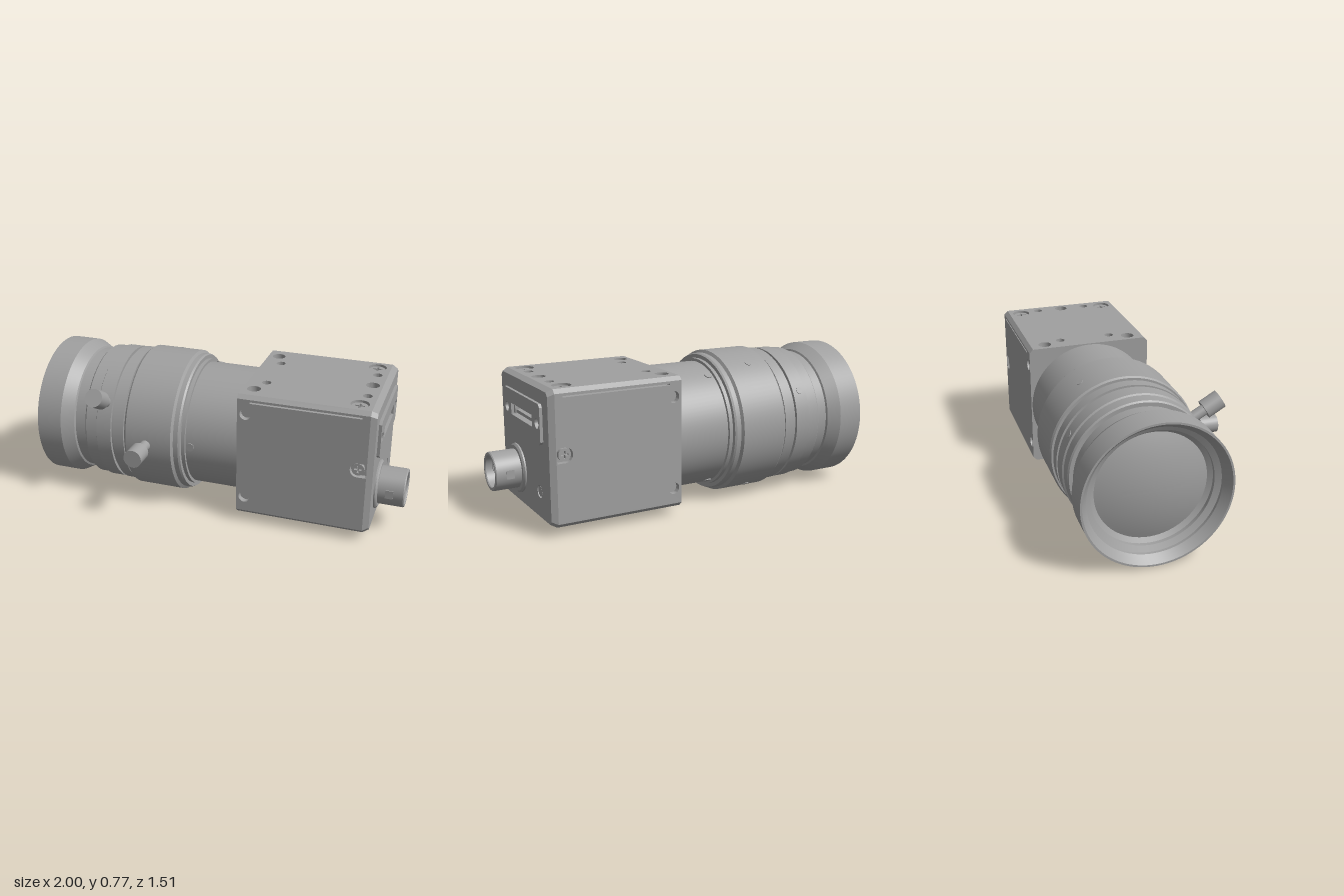
import * as THREE from 'three';
import { toCreasedNormals } from 'three/addons/utils/BufferGeometryUtils.js';

const metal = new THREE.MeshStandardMaterial({ color: 0xa0a0a0 });
metal.name = 'grey metal';

const HALF = 0.336, CORE = 0.306, SKIN = HALF - CORE; // housing half width, core half width, skin depth
const BACK = -0.86, FRONT = -0.195; // housing ends along the optical axis

function add(parent, name, geometry, x = 0, y = 0, z = 0) {
  const mesh = new THREE.Mesh(geometry, metal);
  mesh.name = name;
  mesh.position.set(x, y, z);
  parent.add(mesh);
  return mesh;
}

function group(parent, name) {
  const g = new THREE.Group();
  g.name = name;
  parent.add(g);
  return g;
}

const poly = (pts) => new THREE.Shape(pts.map(([x, y]) => new THREE.Vector2(x, y)));
const rect = (x0, y0, x1, y1) => poly([[x0, y0], [x1, y0], [x1, y1], [x0, y1]]);
const circle = (x, y, r) => new THREE.Shape().absarc(x, y, r, 0, Math.PI * 2, false);
const chamfered = (w, h, c) => poly([[c - w, -h], [w - c, -h], [w, c - h], [w, h - c],
  [w - c, h], [c - w, h], [-w, h - c], [-w, c - h]]);

function extrude(shape, depth, holes = []) {
  shape.holes.push(...holes);
  const g = new THREE.ExtrudeGeometry(shape, { depth, bevelEnabled: false, curveSegments: 12 });
  return toCreasedNormals(g, 0.6);
}

// Turned part along +z from [radius, distance] pairs
function turned(profile, segments = 96) {
  const g = new THREE.LatheGeometry(profile.map(([r, u]) => new THREE.Vector2(r, u)), segments);
  return toCreasedNormals(g.rotateX(Math.PI / 2), 0.35);
}

// Screw head facing +z with a cross recess
function screwHead(r) {
  const a = r * 0.13, b = r * 0.6;
  const cross = poly([[a, a], [b, a], [b, -a], [a, -a], [a, -b], [-a, -b],
    [-a, -a], [-b, -a], [-b, a], [-a, a], [-a, b], [a, b]]);
  return extrude(circle(0, 0, r), 0.02, [cross]);
}

function buildLens(parent) {
  const lens = group(parent, 'lens');
  add(lens, 'lensBarrel', turned([
    [0.33, -0.2], [0.33, 0.085], [0.345, 0.085], [0.345, 0.105], [0.365, 0.105], [0.37, 0.115],
    [0.37, 0.14], [0.385, 0.15], [0.385, 0.4], [0.378, 0.41], [0.36, 0.41], [0.36, 0.42],
    [0.37, 0.42], [0.37, 0.478], [0.352, 0.478], [0.352, 0.495], [0.368, 0.495],
    [0.368, 0.575], [0.36, 0.58], [0.36, 0.64], [0.353, 0.648], [0.333, 0.648],
    [0.333, 0.715], [0.343, 0.72], [0.377, 0.783], [0.377, 0.92], [0.367, 0.92],
    [0.335, 0.875], [0.335, 0.86], [0.305, 0.845], [0.305, 0.825], [0.28, 0.81],
  ]));
  // Convex front glass
  const dome = [];
  for (let i = 0; i <= 12; i++) {
    const r = 0.282 * (1 - i / 12);
    dome.push([r, 0.86 - 0.05 * (r / 0.282) ** 2]);
  }
  add(lens, 'frontGlass', turned(dome));

  // Thumb screw plus two set screws on each adjusting ring
  const radial = (name, angle, u, r, from, to) => {
    const arm = group(lens, name + 'Mount');
    arm.rotation.z = angle;
    const g = new THREE.CylinderGeometry(r, r, to - from, 28).rotateZ(-Math.PI / 2);
    add(arm, name, g, (from + to) / 2, 0, u);
  };
  for (const [u, start, surface, headAt] of [[0.535, 30, 0.368, 0.43], [0.289, 0, 0.385, 0.455]]) {
    for (let i = 0; i < 3; i++) {
      const angle = THREE.MathUtils.degToRad(start + i * 120);
      if (i === 0) {
        radial('thumbScrewStem', angle, u, 0.028, 0.33, headAt + 0.01);
        radial('thumbScrewHead', angle, u, 0.048, headAt, headAt + 0.095);
      } else {
        radial('setScrew', angle, u, 0.018, 0.34, surface + 0.003);
      }
    }
  }
  for (let i = 0; i < 3; i++) radial('mountScrew', i * Math.PI * 2 / 3, 0.06, 0.022, 0.3, 0.334);
}

// One skin plate of the housing; holes are [across, along axis, radius], screws likewise
function buildSide(parent, name, turn, holes, screws, extraHoles = []) {
  const side = group(parent, name);
  side.rotation.z = turn;
  const cuts = [...holes, ...screws].map(([a, u, r]) => circle(a, -u, r));
  const plate = extrude(rect(-CORE, -FRONT, CORE, -BACK), SKIN, [...cuts, ...extraHoles]);
  add(side, name + 'Plate', plate.rotateX(-Math.PI / 2), 0, CORE, 0);
  for (const [a, u, r] of screws) {
    add(side, 'crossScrew', screwHead(r * 0.88).rotateX(-Math.PI / 2), a, CORE, u);
  }
  const post = poly([[CORE, CORE], [HALF, CORE], [HALF, 0.316], [0.316, HALF], [CORE, HALF]]);
  add(side, 'cornerPost', extrude(post, FRONT - BACK), 0, 0, BACK);
  return side;
}

function buildHousing(parent) {
  const body = group(parent, 'housing');
  add(body, 'housingCore', new THREE.BoxGeometry(CORE * 2, CORE * 2, FRONT - BACK), 0, 0, (FRONT + BACK) / 2);

  buildSide(body, 'top', 0,
    [[-0.237, -0.252, 0.035], [0.237, -0.252, 0.035], [-0.14, -0.29, 0.024], [0.14, -0.29, 0.024],
      [0, -0.808, 0.035], [-0.142, -0.808, 0.024], [0.142, -0.808, 0.024]],
    [[-0.249, -0.79, 0.047], [0.249, -0.79, 0.047]]);
  buildSide(body, 'bottom', Math.PI,
    [[-0.235, -0.24, 0.03], [0.235, -0.24, 0.03]], [[0, -0.245, 0.036]]);

  // Mirrored flanks: corner holes, seam groove, rounded recess open to the rear
  for (const s of [1, -1]) {
    const c = -s * 0.02, w = 0.038;
    const recess = new THREE.Shape();
    recess.moveTo(c - w, 0.857);
    recess.lineTo(c - w, 0.815);
    recess.absarc(c, 0.815, w, Math.PI, Math.PI * 2, false);
    recess.lineTo(c + w, 0.857);
    const seam = rect(-s * 0.3 - 0.004, 0.26, -s * 0.3 + 0.004, 0.82);
    const side = buildSide(body, s > 0 ? 'leftFlank' : 'rightFlank', -s * Math.PI / 2,
      [[-0.235, -0.238, 0.03], [0.235, -0.238, 0.03]], [], [recess, seam]);
    add(side, 'flankScrew', screwHead(0.032).rotateX(-Math.PI / 2), c, CORE, -0.815);
  }
  buildBack(body);
}

function buildBack(body) {
  const back = group(body, 'back');
  back.rotation.y = Math.PI;
  back.position.z = BACK;
  const sockets = () => [rect(-0.148, 0.127, 0.148, 0.185), circle(-0.21, 0.156, 0.025), circle(0.21, 0.156, 0.025)];

  // Rear plate, its outer edge drawn in to form a chamfer
  const plate = extrude(chamfered(HALF, HALF, 0.02), SKIN, [...sockets(), circle(0.18, -0.19, 0.032)]);
  const p = plate.attributes.position;
  for (let i = 0; i < p.count; i++) {
    if (p.getZ(i) > 0.02 && Math.max(Math.abs(p.getX(i)), Math.abs(p.getY(i))) > 0.31) {
      p.setXY(i, p.getX(i) * 0.955, p.getY(i) * 0.955);
    }
  }
  plate.computeVertexNormals();
  add(back, 'rearPlate', plate);
  add(back, 'indicator', new THREE.CylinderGeometry(0.025, 0.025, 0.028, 24).rotateX(Math.PI / 2), 0.18, -0.19, 0.014);

  // Raised data port panel
  const panel = chamfered(0.252, 0.099, 0.015);
  const moved = poly(panel.getPoints().map((v) => [v.x, v.y + 0.156]));
  add(back, 'portPanel', extrude(moved, 0.015, sockets()), 0, 0, SKIN);
  add(back, 'portTongue', new THREE.BoxGeometry(0.22, 0.016, 0.03), 0, 0.15, 0.016);
  for (const s of [-1, 1]) {
    add(back, 'portLatch', new THREE.BoxGeometry(0.02, 0.04, 0.034), s * 0.128, 0.156, 0.017);
    add(back, 'portScrew', new THREE.CylinderGeometry(0.014, 0.014, 0.02, 20).rotateX(Math.PI / 2), s * 0.21, 0.156, 0.012);
  }

  // Round power socket
  const socket = group(back, 'roundSocket');
  socket.position.set(-0.124, -0.15, SKIN);
  add(socket, 'socketShell', turned([[0.127, 0], [0.127, 0.008], [0.118, 0.016], [0.1, 0.016], [0.1, 0.145],
    [0.096, 0.15], [0.084, 0.15], [0.08, 0.145], [0.08, 0.04], [0.062, 0.04], [0.062, 0.012], [0, 0.012]], 48));
  for (const s of [-1, 1]) {
    add(socket, 'shellWindow', new THREE.BoxGeometry(0.008, 0.045, 0.04), s * 0.098, 0, 0.075);
    add(socket, 'innerKey', new THREE.BoxGeometry(0.014, 0.045, 0.06), s * 0.077, 0, 0.08);
  }
}

export function createModel() {
  const model = new THREE.Group();
  model.name = 'industrialCamera';
  const axis = group(model, 'opticalAssembly');
  axis.rotation.y = -Math.PI / 3;
  axis.position.set(-0.0175, 0.388, -0.03);
  buildLens(axis);
  buildHousing(axis);
  return model;
}
